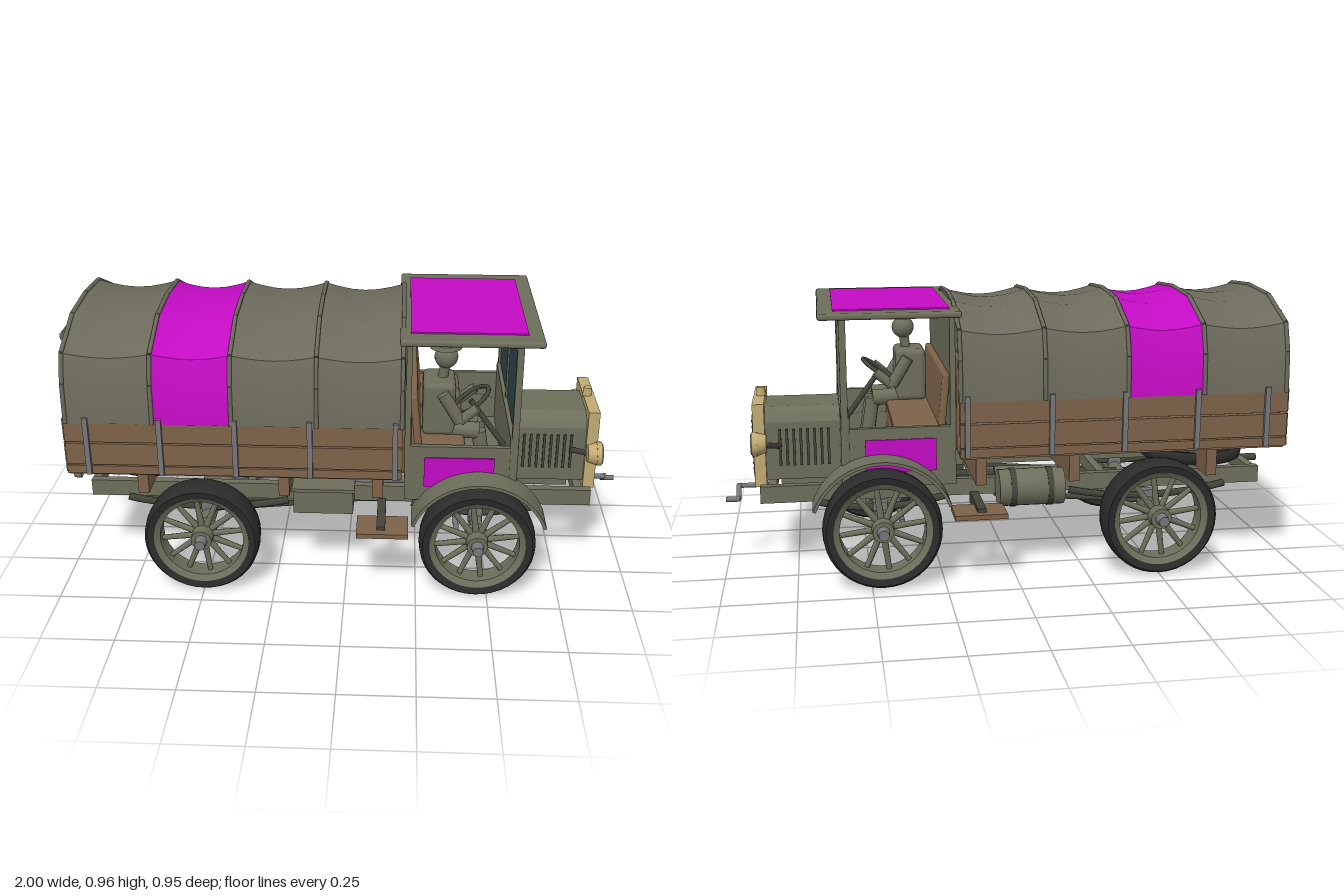
import * as THREE from 'three';
import { toCreasedNormals } from 'three/addons/utils/BufferGeometryUtils.js';
import { RoundedBoxGeometry } from 'three/addons/geometries/RoundedBoxGeometry.js';

const paint = (name, color) => Object.assign(new THREE.MeshStandardMaterial({ color }), { name });

export function createModel() {
  const olive = paint('olive', 0x6e6e5c), canvas = paint('canvas', 0x6c6b5c), dark = paint('dark olive', 0x43443a);
  const wood = paint('wood', 0x7d6349), brass = paint('brass', 0xc2ab74), magenta = paint('magenta', 0xc40cc4);
  const glass = paint('glass', 0x314651), rubber = paint('rubber', 0x2b2b2b), steel = paint('steel', 0x77777c);
  canvas.side = olive.side = THREE.DoubleSide;
  const root = new THREE.Group();
  root.name = 'truck';

  const add = (name, geo, mat, parent = root) => {
    const m = new THREE.Mesh(geo, mat);
    m.name = name;
    parent.add(m);
    return m;
  };
  const box = (name, mat, x0, x1, y0, y1, z0, z1, r = 0) => {
    const s = [x1 - x0, y1 - y0, z1 - z0];
    const m = add(name, r ? new RoundedBoxGeometry(...s, 2, r) : new THREE.BoxGeometry(...s), mat);
    m.position.set((x0 + x1) / 2, (y0 + y1) / 2, (z0 + z1) / 2);
    return m;
  };
  const pair = (name, mat, x0, x1, y0, y1, z0, z1, r = 0) => {
    box(name, mat, x0, x1, y0, y1, z0, z1, r);
    box(name, mat, x0, x1, y0, y1, -z1, -z0, r);
  };
  const rod = (name, mat, a, b, r, r2 = r, parent = root, sides = 12) => {
    const p = new THREE.Vector3(...a), d = new THREE.Vector3(...b).sub(p);
    const m = add(name, new THREE.CylinderGeometry(r2, r, d.length(), sides), mat, parent);
    m.position.copy(p).addScaledVector(d, 0.5);
    m.quaternion.setFromUnitVectors(new THREE.Vector3(0, 1, 0), d.normalize());
    return m;
  };
  const ball = (name, mat, x, y, z, r) => {
    const m = add(name, new THREE.SphereGeometry(r, 20, 14), mat);
    m.position.set(x, y, z);
    return m;
  };
  const lathe = pts => toCreasedNormals(new THREE.LatheGeometry(pts.map(p => new THREE.Vector2(...p)), 40), 0.6);

  // Wheels: tyre, rim, spokes and hub around the z axis
  const tyreGeo = lathe([[0.163, -0.045], [0.19, -0.052], [0.2, -0.038], [0.203, 0], [0.2, 0.038], [0.19, 0.052], [0.163, 0.045], [0.163, -0.045]]).rotateX(Math.PI / 2);
  const rimGeo = lathe([[0.146, -0.035], [0.166, -0.048], [0.166, 0.048], [0.146, 0.035], [0.146, -0.035]]).rotateX(Math.PI / 2);
  const wheel = (name, x, s) => {
    const g = new THREE.Group();
    g.name = name;
    add('tyre', tyreGeo, rubber, g);
    add('rim', rimGeo, olive, g);
    for (let i = 0; i < 12; i++) {
      const a = i * Math.PI / 6 + 0.13, c = Math.cos(a), n = Math.sin(a);
      rod('spoke', olive, [c * 0.03, n * 0.03, 0], [c * 0.15, n * 0.15, 0], 0.012, 0.009, g, 8);
    }
    rod('hub', olive, [0, 0, -0.045], [0, 0, 0.05], 0.042, 0.036, g, 20);
    rod('hubCap', steel, [0, 0, 0.05], [0, 0, 0.085], 0.022, 0.018, g, 12);
    g.position.set(x, 0.203, s * 0.388);
    if (s < 0) g.rotation.y = Math.PI;
    root.add(g);
  };
  for (const s of [1, -1]) { wheel('frontWheel', 0.46, s); wheel('rearWheel', -0.5, s); }

  // Chassis frame, axles, springs and drive line
  pair('frameRail', olive, -0.93, 0.87, 0.255, 0.315, 0.185, 0.215);
  for (const x of [-0.92, -0.35, 0.1, 0.3, 0.83]) box('frameCrossMember', olive, x - 0.015, x + 0.015, 0.26, 0.305, -0.19, 0.19);
  box('frontAxle', olive, 0.44, 0.48, 0.178, 0.225, -0.41, 0.41);
  rod('rearAxle', olive, [-0.5, 0.203, -0.4], [-0.5, 0.203, 0.4], 0.028);
  ball('differential', olive, -0.5, 0.2, 0, 0.062);
  rod('driveShaft', steel, [-0.46, 0.205, 0], [0.4, 0.24, 0], 0.013);
  rod('exhaustPipe', dark, [-0.78, 0.205, 0.145], [0.5, 0.245, 0.145], 0.015);
  rod('muffler', olive, [-0.25, 0.225, 0.145], [0, 0.23, 0.145], 0.025);
  box('engineSump', olive, 0.55, 0.8, 0.27, 0.34, -0.09, 0.09);
  for (const s of [1, -1]) {
    for (const [x, h] of [[-0.5, 0.29], [0.46, 0.23]]) {
      const leaf = new THREE.QuadraticBezierCurve3(new THREE.Vector3(x - h, 0.265, s * 0.24), new THREE.Vector3(x, 0.2, s * 0.24), new THREE.Vector3(x + h, 0.265, s * 0.24));
      add('leafSpring', new THREE.TubeGeometry(leaf, 12, 0.013, 6), dark);
      box('springClamp', steel, x - 0.025, x + 0.025, 0.2, 0.255, s * 0.24 - 0.018, s * 0.24 + 0.018);
    }
    rod('radiusRod', dark, [-0.5, 0.2, s * 0.2], [0.05, 0.25, s * 0.19], 0.01);
  }
  rod('tieRod', steel, [0.39, 0.205, -0.34], [0.39, 0.205, 0.34], 0.01);

  // Underslung spare wheel, tool box, fuel tank, steps
  const spare = add('spareTyre', tyreGeo.clone().rotateX(Math.PI / 2).scale(0.95, 0.45, 0.95), rubber);
  spare.position.set(-0.735, 0.338, 0);
  rod('spareRim', dark, [-0.735, 0.325, 0], [-0.735, 0.345, 0], 0.156, 0.156, root, 32);
  box('toolBox', olive, -0.185, 0.025, 0.26, 0.345, 0.215, 0.325);
  box('toolBoxLid', olive, -0.19, 0.03, 0.345, 0.357, 0.21, 0.33);
  rod('fuelTank', olive, [-0.18, 0.295, -0.28], [0.05, 0.295, -0.28], 0.065, 0.065, root, 24);
  for (const x of [-0.13, 0]) rod('tankStrap', dark, [x - 0.01, 0.295, -0.28], [x + 0.01, 0.295, -0.28], 0.068, 0.068, root, 24);
  pair('step', wood, 0.04, 0.22, 0.235, 0.252, 0.32, 0.45);
  pair('stepBracket', dark, 0.11, 0.14, 0.225, 0.265, 0.2, 0.42);

  // Cargo bed
  box('bedFloor', wood, -0.95, 0.19, 0.43, 0.45, -0.385, 0.385);
  for (const x of [-0.72, -0.22, 0.11]) box('bedCrossBeam', wood, x - 0.019, x + 0.019, 0.312, 0.432, -0.3, 0.3);
  for (const [y0, y1] of [[0.438, 0.468], [0.473, 0.552], [0.558, 0.638]]) {
    pair('sideBoard', wood, -0.955, 0.195, y0, y1, 0.372, 0.396);
    box('tailBoard', wood, -0.962, -0.94, y0, y1, -0.385, 0.385);
  }
  for (const x of [-0.878, -0.628, -0.372, -0.118, 0.17]) pair('stake', steel, x - 0.009, x + 0.009, 0.44, 0.65, 0.39, 0.408);
  for (const z of [-0.25, 0.25]) box('tailStake', steel, -0.97, -0.955, 0.43, 0.645, z - 0.01, z + 0.01);
  box('headBoard', wood, 0.175, 0.203, 0.45, 0.78, -0.385, 0.385, 0.012);

  // Canvas cover: one sagging bay between each pair of hoops
  const half = [[0.4, 0.63], [0.393, 0.77], [0.362, 0.868], [0.19, 0.944]];
  const section = [...half, [0, 0.957], ...half.map(([z, y]) => [-z, y]).reverse()];
  const hoops = [-0.945, -0.65, -0.382, -0.095, 0.192];
  const bay = (x0, x1) => {
    const n = 6, w = section.length, pos = [], idx = [];
    for (let i = 0; i <= n; i++) {
      const sag = Math.sin(Math.PI * i / n);
      for (const [z, y] of section) {
        const k = (y - 0.63) / 0.327;
        pos.push(x0 + (x1 - x0) * i / n, y - 0.026 * sag * k, z * (1 - 0.025 * sag * k));
      }
    }
    for (let i = 0; i < n; i++) for (let j = 0; j < w - 1; j++) {
      const a = i * w + j, b = a + w;
      idx.push(a, b, a + 1, b, b + 1, a + 1);
    }
    const g = new THREE.BufferGeometry();
    g.setAttribute('position', new THREE.Float32BufferAttribute(pos, 3));
    g.setIndex(idx);
    return toCreasedNormals(g, 0.35);
  };
  for (let i = 0; i < 4; i++) add(i === 1 ? 'coverStripe' : 'coverBay', bay(hoops[i], hoops[i + 1]), i === 1 ? magenta : canvas);
  for (const x of hoops) {
    for (let j = 0; j < section.length - 1; j++) {
      const [za, ya] = section[j], [zb, yb] = section[j + 1];
      rod('hoop', canvas, [x, ya, za], [x, yb, zb], 0.008, 0.008, root, 6);
    }
  }
  const endShape = new THREE.Shape(section.map(p => new THREE.Vector2(...p)));
  for (const x of [-0.945, 0.19]) add('coverEnd', new THREE.ShapeGeometry(endShape).rotateY(-Math.PI / 2), canvas).position.x = x;
  rod('rolledFlap', canvas, [-0.962, 0.88, -0.24], [-0.962, 0.88, 0.24], 0.02);

  // Cab shell
  box('cabBack', olive, 0.203, 0.222, 0.335, 0.91, -0.345, 0.345);
  box('cabFloor', olive, 0.21, 0.58, 0.335, 0.35, -0.34, 0.34);
  pair('cabSide', olive, 0.205, 0.575, 0.335, 0.54, 0.325, 0.345);
  pair('sidePanel', magenta, 0.27, 0.51, 0.388, 0.5, 0.343, 0.35);
  box('cowl', olive, 0.56, 0.59, 0.335, 0.582, -0.347, 0.347, 0.008);
  box('roof', olive, 0.18, 0.657, 0.908, 0.93, -0.36, 0.36, 0.009);
  box('roofPanel', magenta, 0.215, 0.605, 0.929, 0.935, -0.29, 0.29);
  pair('windscreenPost', olive, 0.565, 0.588, 0.54, 0.91, 0.322, 0.347);
  box('windscreenTop', olive, 0.565, 0.588, 0.882, 0.91, -0.325, 0.325);
  box('windscreenBar', olive, 0.567, 0.59, 0.58, 0.89, -0.009, 0.009);
  pair('windscreen', glass, 0.573, 0.581, 0.582, 0.882, 0.009, 0.322);

  // Seat, steering and driver
  box('seatBase', wood, 0.225, 0.4, 0.35, 0.5, -0.32, 0.32);
  box('seatCushion', wood, 0.225, 0.41, 0.5, 0.54, -0.32, 0.32, 0.015);
  box('seatBack', wood, 0.226, 0.252, 0.53, 0.715, -0.32, 0.32, 0.01).rotation.z = 0.1;
  rod('steeringColumn', dark, [0.56, 0.46, 0.17], [0.43, 0.64, 0.17], 0.01);
  const steering = add('steeringWheel', new THREE.TorusGeometry(0.075, 0.008, 8, 24).rotateX(Math.PI / 2), dark);
  steering.position.set(0.43, 0.64, 0.17);
  steering.rotation.z = 0.62;
  box('driverTorso', olive, 0.262, 0.375, 0.535, 0.73, 0.09, 0.25, 0.02);
  ball('driverHead', olive, 0.34, 0.803, 0.17, 0.041);
  rod('driverNeck', olive, [0.33, 0.72, 0.17], [0.338, 0.78, 0.17], 0.018);
  rod('driverCap', olive, [0.338, 0.838, 0.17], [0.338, 0.853, 0.17], 0.056, 0.05, root, 20);
  for (const z of [0.08, 0.26]) {
    rod('driverArm', olive, [0.33, 0.7, z], [0.39, 0.6, z], 0.022);
    rod('driverForearm', olive, [0.39, 0.6, z], [0.45, 0.65, z], 0.018);
    rod('driverThigh', olive, [0.3, 0.555, z * 0.5 + 0.085], [0.46, 0.545, z * 0.5 + 0.085], 0.03);
    rod('driverShin', olive, [0.46, 0.545, z * 0.5 + 0.085], [0.49, 0.35, z * 0.5 + 0.085], 0.025);
  }

  // Front mudguards, extruded arcs over the wheels
  const arch = new THREE.Shape();
  arch.absarc(0, 0, 0.247, 0.36, Math.PI - 0.36, false);
  arch.absarc(0, 0, 0.236, Math.PI - 0.36, 0.36, true);
  const archGeo = toCreasedNormals(new THREE.ExtrudeGeometry(arch, { depth: 0.13, bevelEnabled: false, curveSegments: 20 }), 0.5);
  for (const z of [0.323, -0.453]) add('mudguard', archGeo, olive).position.set(0.46, 0.203, z);

  // Bonnet with louvres
  const hood = new THREE.Shape([[-0.143, 0.32], [0.143, 0.32], [0.143, 0.525], [0.125, 0.555], [0.09, 0.572], [-0.09, 0.572], [-0.125, 0.555], [-0.143, 0.525]].map(p => new THREE.Vector2(...p)));
  add('bonnet', new THREE.ExtrudeGeometry(hood, { depth: 0.265, bevelEnabled: false }).rotateY(Math.PI / 2), olive).position.x = 0.585;
  for (let i = 0; i < 8; i++) pair('louvre', dark, 0.625 + i * 0.024, 0.634 + i * 0.024, 0.37, 0.5, 0.14, 0.149);

  // Radiator: brass surround, dark core, slats and filler cap
  const rect = (C, z, y0, y1) => new C([[-z, y0], [z, y0], [z, y1], [-z, y1]].map(p => new THREE.Vector2(...p)));
  const surround = rect(THREE.Shape, 0.162, 0.3, 0.595);
  surround.holes.push(rect(THREE.Path, 0.13, 0.328, 0.548));
  add('radiatorSurround', new THREE.ExtrudeGeometry(surround, { depth: 0.04, bevelEnabled: false }).rotateY(Math.PI / 2), brass).position.x = 0.848;
  box('radiatorCore', dark, 0.85, 0.876, 0.326, 0.55, -0.131, 0.131);
  pair('grilleSide', olive, 0.874, 0.892, 0.328, 0.548, 0.115, 0.13);
  for (const y of [0.328, 0.535]) box('grilleEdge', olive, 0.874, 0.892, y, y + 0.013, -0.13, 0.13);
  for (let i = 0; i < 9; i++) box('grilleSlat', olive, 0.874, 0.894, 0.349 + i * 0.0215, 0.359 + i * 0.0215, -0.116, 0.116).rotation.z = -0.5;
  rod('fillerCap', brass, [0.862, 0.59, 0], [0.862, 0.625, 0], 0.017, 0.014);

  // Headlamps on brackets
  for (const s of [1, -1]) {
    const z = s * 0.24;
    rod('lampBody', brass, [0.84, 0.475, z], [0.87, 0.475, z], 0.03, 0.04, root, 24);
    rod('lampRim', brass, [0.87, 0.475, z], [0.888, 0.475, z], 0.042, 0.042, root, 24);
    rod('lampLens', s > 0 ? olive : steel, [0.885, 0.475, z], [0.892, 0.475, z], 0.036, 0.036, root, 24);
    rod('lampBracket', dark, [0.8, 0.44, s * 0.14], [0.85, 0.465, s * 0.22], 0.01);
  }

  // Starting crank, tow hook and tail lamp
  rod('crankShaft', steel, [0.84, 0.262, 0], [0.955, 0.262, 0], 0.009);
  rod('crankArm', steel, [0.955, 0.266, 0], [0.955, 0.228, -0.055], 0.009);
  rod('crankHandle', steel, [0.95, 0.228, -0.055], [1, 0.228, -0.055], 0.01);
  rod('towHook', dark, [-0.92, 0.29, 0], [-1, 0.29, 0], 0.014);
  rod('tailLamp', steel, [-0.96, 0.388, 0.3], [-0.935, 0.388, 0.3], 0.016);
  rod('tailLampStem', dark, [-0.945, 0.39, 0.3], [-0.945, 0.44, 0.3], 0.006);
  return root;
}
